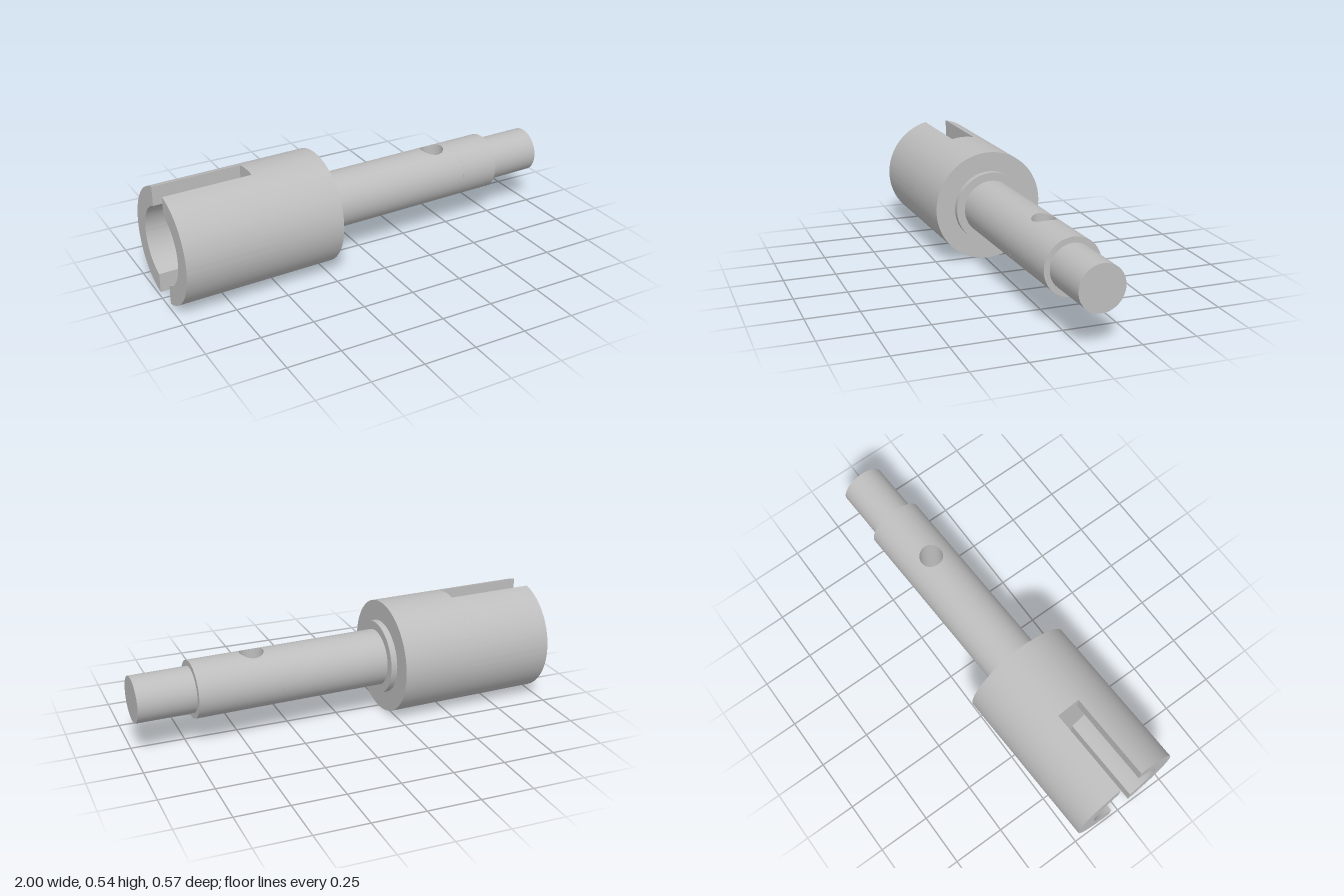
import * as THREE from 'three';
import { toCreasedNormals } from 'three/addons/utils/BufferGeometryUtils.js';
import { ParametricGeometry } from 'three/addons/geometries/ParametricGeometry.js';

const CUP_R = 0.269, BORE_R = 0.18, SLOT_HALF = 0.058;
const SHAFT_R = 0.134, HOLE_R = 0.056, HOLE_X = 0.43, PATCH = 0.1;

export function createModel() {
  const steel = new THREE.MeshStandardMaterial({ color: 0xbdbdbd, side: THREE.DoubleSide });
  steel.name = 'steel';

  const model = new THREE.Group();
  model.name = 'driveShaft';
  // All parts lie along a local x axis that is turned slightly about y
  const axis = new THREE.Group();
  axis.name = 'shaftAxis';
  axis.position.set(0, CUP_R, -0.025);
  axis.rotation.y = 0.039;
  model.add(axis);

  const add = (name, geometry) => {
    const mesh = new THREE.Mesh(geometry, steel);
    mesh.name = name;
    axis.add(mesh);
    return mesh;
  };
  // Solid round bar between two stations on the axis
  const rod = (name, r, x0, x1) => {
    const g = new THREE.CylinderGeometry(r, r, x1 - x0, 96);
    g.rotateZ(-Math.PI / 2);
    add(name, g).position.x = (x0 + x1) / 2;
  };

  rod('cupBase', CUP_R, -0.57, -0.225);
  rod('collar', 0.174, -0.225, -0.195);
  rod('shaftInner', SHAFT_R, -0.195, HOLE_X - PATCH);
  rod('shaftOuter', SHAFT_R, HOLE_X + PATCH, 0.725);
  rod('shaftTip', 0.107, 0.725, 0.995);

  // Two cup jaws, separated by a slot that runs through top and bottom
  const a = Math.acos(SLOT_HALF / CUP_R), b = Math.acos(SLOT_HALF / BORE_R);
  const jawShape = new THREE.Shape();
  jawShape.absarc(0, 0, CUP_R, -a, a, false);
  jawShape.absarc(0, 0, BORE_R, b, -b, true);
  jawShape.closePath();
  for (const [name, turn] of [['backJaw', 0], ['frontJaw', Math.PI]]) {
    const jaw = new THREE.ExtrudeGeometry(jawShape, { depth: 0.42, bevelEnabled: false, curveSegments: 48 });
    jaw.rotateZ(turn).rotateY(Math.PI / 2);
    add(name, toCreasedNormals(jaw, 0.5)).position.x = -0.99;
  }

  // Cross-drilled part of the shaft: half-round skins blended from hole rim to patch border
  for (const [name, side] of [['drilledTop', 1], ['drilledBottom', -1]]) {
    const skin = new ParametricGeometry((s, t, p) => {
      const phi = s * Math.PI * 2, c = Math.cos(phi), n = Math.sin(phi);
      const m = Math.max(Math.abs(c), Math.abs(n));
      const x = THREE.MathUtils.lerp(HOLE_R * c, PATCH * c / m, t);
      const rim = Math.asin(HOLE_R * n / SHAFT_R);
      const theta = THREE.MathUtils.lerp(rim, Math.PI / 2 * n / m, t);
      p.set(x, SHAFT_R * Math.cos(theta), -SHAFT_R * Math.sin(theta));
    }, 96, 16);
    // Face outward on both halves
    if (skin.attributes.normal.getY(0) < 0) {
      const index = skin.index.array;
      for (let i = 0; i < index.length; i += 3) [index[i], index[i + 1]] = [index[i + 1], index[i]];
      const nor = skin.attributes.normal;
      for (let i = 0; i < nor.count; i++) nor.setXYZ(i, -nor.getX(i), -nor.getY(i), -nor.getZ(i));
    }
    if (side < 0) skin.rotateX(Math.PI);
    add(name, skin).position.x = HOLE_X;
  }

  // Wall of the cross hole, trimmed to the round of the shaft
  const wall = new ParametricGeometry((s, t, p) => {
    const phi = s * Math.PI * 2, z = HOLE_R * Math.sin(phi);
    p.set(HOLE_R * Math.cos(phi), (t * 2 - 1) * Math.sqrt(SHAFT_R ** 2 - z * z), z);
  }, 96, 2);
  add('crossHoleWall', wall).position.x = HOLE_X;

  return model;
}
